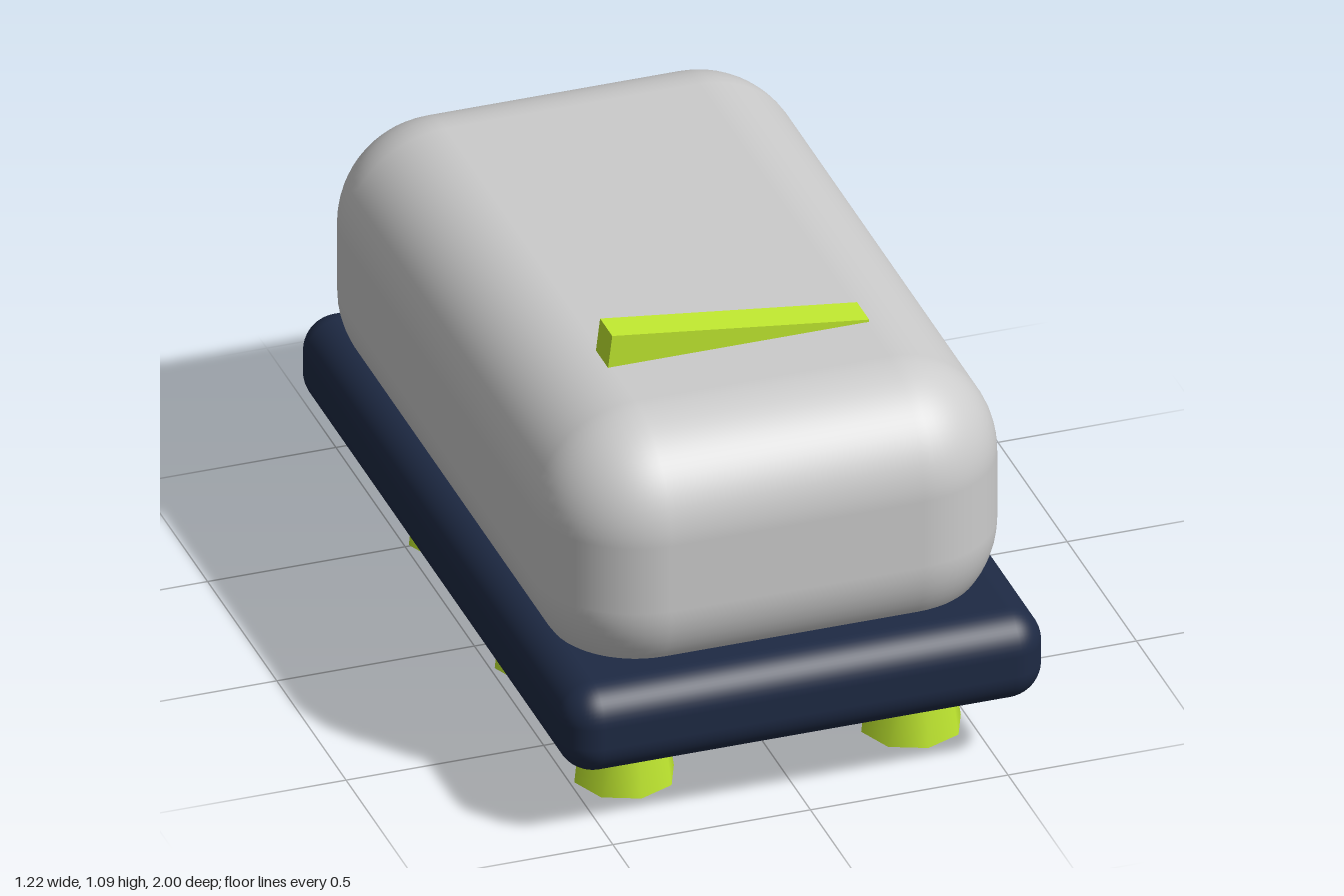
import * as THREE from 'three';
import { RoundedBoxGeometry } from 'three/addons/geometries/RoundedBoxGeometry.js';

export function createModel() {
  const model = new THREE.Group();
  const grey = new THREE.MeshStandardMaterial({ color: 0xcccccc });
  const navy = new THREE.MeshStandardMaterial({ color: 0x1e2a44 });
  const lime = new THREE.MeshStandardMaterial({ color: 0xc0e830 });

  const add = (name, geometry, material, x, y, z) => {
    const mesh = new THREE.Mesh(geometry, material);
    mesh.name = name;
    mesh.position.set(x, y, z);
    model.add(mesh);
    return mesh;
  };

  // Soft rounded body, set slightly back and sunk into the base
  add('body', new RoundedBoxGeometry(1.16, 0.7, 1.89, 8, 0.26), grey, 0, 0.65, -0.035);

  // Wide base slab
  add('base', new RoundedBoxGeometry(1.22, 0.235, 2, 6, 0.09), navy, 0, 0.2925, 0);

  // Six tapered eight-sided legs, in mirrored pairs
  const legHeight = 0.2;
  const legGeometry = new THREE.CylinderGeometry(0.097, 0.126, legHeight, 8);
  for (const z of [0.69, 0.115, -0.505]) {
    for (const side of [-1, 1]) {
      add(side > 0 ? 'leftLeg' : 'rightLeg', legGeometry, lime, side * 0.363, legHeight / 2, z);
    }
  }

  // Slanted bar half buried in the top of the body
  const bar = add('topBar', new THREE.BoxGeometry(0.655, 0.088, 0.088), lime, 0, 1.002, 0.437);
  bar.rotation.z = -0.122;

  return model;
}
